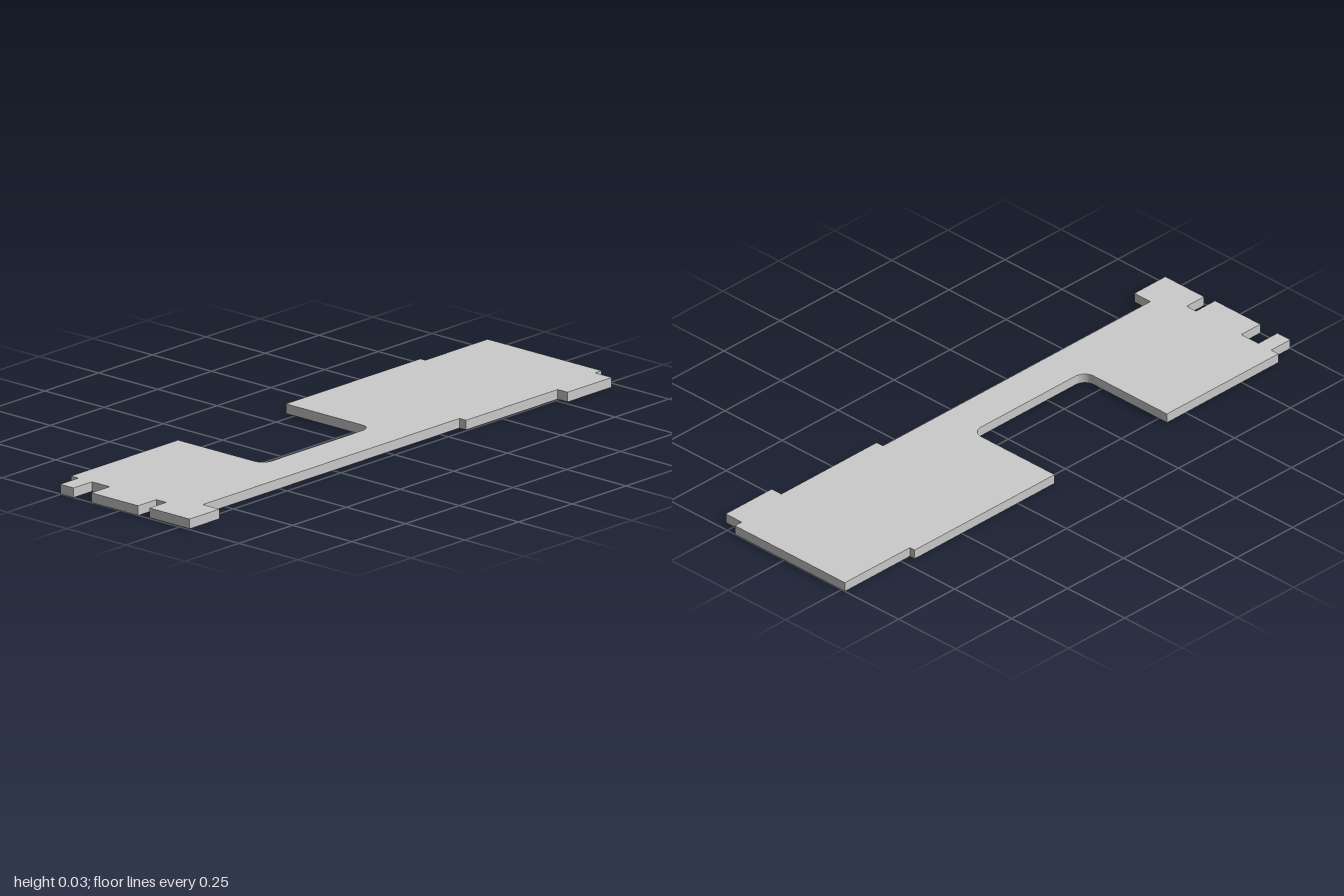
import * as THREE from 'three';

const THICKNESS = 0.032;

export function createModel() {
  const group = new THREE.Group();
  group.name = 'notchedPlate';

  // Outline as [x, z]; an optional third number rounds that corner
  const outline = [
    [-0.265, -1], [0.216, -1],
    // right edge: rear tab, shallow step, long straight, front tab
    [0.216, -0.97], [0.286, -0.97], [0.286, -0.765], [0.244, -0.765],
    [0.244, -0.339], [0.216, -0.339], [0.216, 0.855], [0.286, 0.855],
    // front edge: tabs and slots
    [0.286, 0.993], [0.116, 0.993], [0.116, 0.915], [0.075, 0.915],
    [0.075, 1], [-0.123, 1], [-0.123, 0.915], [-0.198, 0.915],
    [-0.198, 1], [-0.254, 1], [-0.254, 0.915], [-0.286, 0.915],
    // left edge: large cutout with rounded inner corners, rear step
    [-0.286, 0.417], [0.075, 0.417, 0.04], [0.075, -0.085, 0.04],
    [-0.286, -0.085], [-0.286, -0.71], [-0.265, -0.71],
  ];

  const shape = new THREE.Shape();
  outline.forEach(([x, z, radius], i) => {
    const p = new THREE.Vector2(x, -z);
    if (i === 0) shape.moveTo(p.x, p.y);
    else if (!radius) shape.lineTo(p.x, p.y);
    else {
      // tangent arc between the two neighbouring edges
      const toward = ([nx, nz]) => new THREE.Vector2(nx, -nz).sub(p).setLength(radius);
      const a = toward(outline[i - 1]);
      const b = toward(outline[i + 1]);
      const centre = p.clone().add(a).add(b);
      const start = Math.atan2(-b.y, -b.x);
      const end = Math.atan2(-a.y, -a.x);
      shape.lineTo(p.x + a.x, p.y + a.y);
      shape.absarc(centre.x, centre.y, radius, start, end, a.cross(b) > 0);
    }
  });

  // Flat plate lying on the ground
  const geometry = new THREE.ExtrudeGeometry(shape, {
    depth: THICKNESS, bevelEnabled: false, curveSegments: 6,
  });
  geometry.rotateX(-Math.PI / 2);

  const plate = new THREE.Mesh(
    geometry,
    new THREE.MeshStandardMaterial({ color: 0xcccccc, flatShading: true }),
  );
  plate.name = 'plate';
  group.add(plate);
  return group;
}
